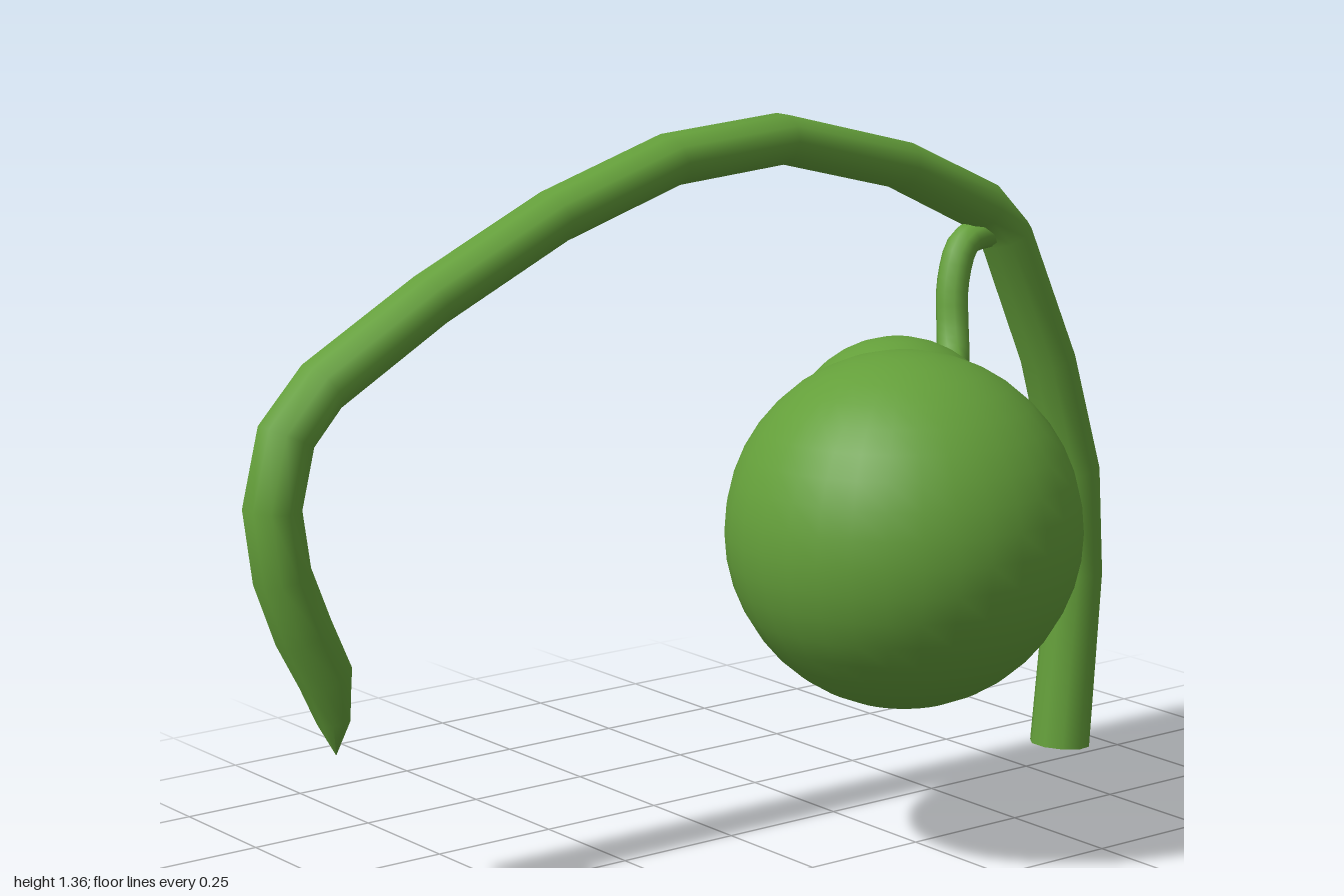
import * as THREE from 'three';

// Sweep an elliptical section along stations [x, y, z, halfWidth, halfDepth]; the first end is capped.
function sweep(stations, sides) {
  const centers = stations.map(s => new THREE.Vector3(s[0], s[1], s[2]));
  const pos = [], index = [];
  const last = centers.length - 1;
  centers.forEach((c, i) => {
    const t = centers[Math.min(i + 1, last)].clone().sub(centers[Math.max(i - 1, 0)]).normalize();
    const u = new THREE.Vector3(1, 0, 0).addScaledVector(t, -t.x).normalize();
    const v = t.clone().cross(u);
    for (let j = 0; j < sides; j++) {
      const a = (j / sides) * Math.PI * 2;
      const p = c.clone()
        .addScaledVector(u, Math.cos(a) * stations[i][3])
        .addScaledVector(v, Math.sin(a) * stations[i][4]);
      pos.push(p.x, p.y, p.z);
    }
  });
  for (let i = 0; i < last; i++) {
    for (let j = 0; j < sides; j++) {
      const a = i * sides + j, b = i * sides + (j + 1) % sides;
      index.push(a, b, a + sides, b, b + sides, a + sides);
    }
  }
  // Flat cap with its own vertices so the rim stays sharp
  const capStart = pos.length / 3;
  pos.push(...pos.slice(0, sides * 3), ...centers[0].toArray());
  for (let j = 0; j < sides; j++) {
    index.push(capStart + sides, capStart + (j + 1) % sides, capStart + j);
  }
  const geo = new THREE.BufferGeometry();
  geo.setAttribute('position', new THREE.Float32BufferAttribute(pos, 3));
  geo.setIndex(index);
  geo.computeVertexNormals();
  return geo;
}

export function createModel() {
  const group = new THREE.Group();
  const green = new THREE.MeshStandardMaterial({ color: 0x649f3a });
  green.name = 'leaf green';

  const add = (name, geometry, position = [0, 0, 0]) => {
    const mesh = new THREE.Mesh(geometry, green);
    mesh.name = name;
    mesh.position.set(...position);
    group.add(mesh);
  };

  // Arched stem in the plane x = -0.32: [z, y, halfWidth, halfDepth] from the cut base to the pointed tip
  const stem = [
    [-0.903, 0.015, 0.062, 0.062], [-0.937, 0.375, 0.06, 0.055], [-0.925, 0.59, 0.06, 0.056],
    [-0.857, 0.825, 0.06, 0.053], [-0.74, 1.09, 0.06, 0.05], [-0.68, 1.15, 0.06, 0.05],
    [-0.47, 1.25, 0.06, 0.048], [-0.177, 1.325, 0.06, 0.049], [0.08, 1.308, 0.06, 0.049],
    [0.342, 1.227, 0.06, 0.049], [0.61, 1.104, 0.06, 0.049], [0.84, 0.975, 0.06, 0.05],
    [0.914, 0.895, 0.06, 0.052], [0.946, 0.77, 0.06, 0.052], [0.93, 0.648, 0.06, 0.052],
    [0.89, 0.54, 0.058, 0.053], [0.847, 0.45, 0.051, 0.05], [0.834, 0.37, 0.036, 0.03],
    [0.83, 0.305, 0.0005, 0.0005],
  ].map(([z, y, w, d]) => [-0.32, y, z, w, d]);
  add('stem', sweep(stem, 10));

  // Thin stalk hanging from the stem to the small lobe
  const stalkCurve = new THREE.CatmullRomCurve3([
    [-0.32, 1.1, -0.71], [-0.315, 1.085, -0.63], [-0.305, 1.01, -0.592],
    [-0.285, 0.92, -0.575], [-0.25, 0.86, -0.545], [-0.2, 0.83, -0.47],
  ].map(p => new THREE.Vector3(...p)));
  add('stalk', sweep(stalkCurve.getPoints(18).map(p => [p.x, p.y, p.z, 0.034, 0.03]), 10));

  // Two overlapping round lobes
  add('largeLobe', new THREE.SphereGeometry(0.332, 32, 20), [0.048, 0.64, -0.177]);
  add('smallLobe', new THREE.SphereGeometry(0.212, 28, 18), [-0.157, 0.74, -0.33]);

  return group;
}
